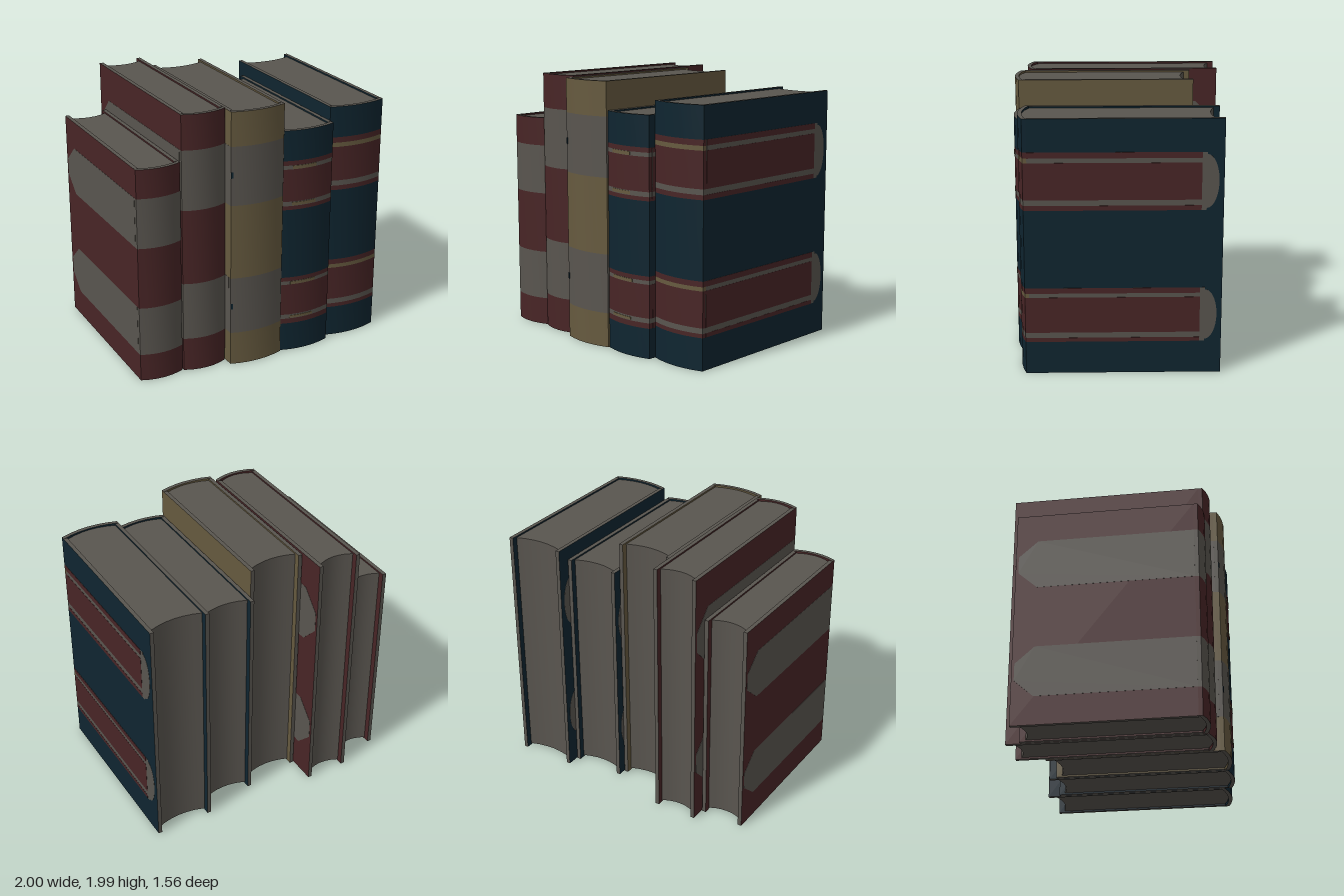
import * as THREE from 'three';
import { toCreasedNormals } from 'three/addons/utils/BufferGeometryUtils.js';

const mat = (name, color) => {
  const m = new THREE.MeshStandardMaterial({ color });
  m.name = name;
  return m;
};
const paper = mat('paper grey', 0x59554f);
const maroon = mat('maroon', 0x482526);
const tan = mat('tan', 0x665a3f);
const navy = mat('navy', 0x0f2530);

const T = 0.03; // cover thickness

// Points along a shallow bow from x0 to x1, as (x, -z), for the stretch a..c
function bow(x0, x1, z, b, a = 0, c = 1, n = 6) {
  return Array.from({ length: n + 1 }, (_, i) => {
    const t = a + (c - a) * i / n;
    return new THREE.Vector2(x0 + (x1 - x0) * t, -(z + b * (1 - (2 * t - 1) ** 2)));
  });
}

// Upright prism from a plan outline; the ends and sides may differ in colour
function prism(name, points, y0, y1, ends, sides) {
  let g = new THREE.ExtrudeGeometry(new THREE.Shape(points), { depth: y1 - y0, bevelEnabled: false });
  g.rotateX(-Math.PI / 2);
  g.translate(0, y0, 0);
  g = toCreasedNormals(g, 0.5);
  const mesh = new THREE.Mesh(g, [ends, sides]);
  mesh.name = name;
  return mesh;
}

// Thin plate on a cover, drawn in (z, y); side is +1 or -1
function plate(name, shape, x, side, d, material) {
  const g = new THREE.ExtrudeGeometry(shape, { depth: d, bevelEnabled: false, curveSegments: 12 });
  g.rotateY(-Math.PI / 2);
  g.translate(side > 0 ? x + d : x, 0, 0);
  const mesh = new THREE.Mesh(g, material);
  mesh.name = name;
  return mesh;
}

const polygon = pts => new THREE.Shape(pts.map(p => new THREE.Vector2(...p)));
const rect = (z0, z1, y0, y1) => polygon([[z0, y0], [z1, y0], [z1, y1], [z0, y1]]);

// Cover label outlines, running from the spine to a shaped end near the back
function chamferedLabel(zb, zf, y0, y1) {
  const h = y1 - y0;
  return polygon([[zf, y0], [zf, y1], [zb + 0.16, y1], [zb + 0.02, y0 + h * 0.67],
    [zb + 0.02, y0 + h * 0.33], [zb + 0.16, y0]]);
}
function roundedLabel(zb, zf, y0, y1) {
  const s = new THREE.Shape();
  s.moveTo(zf, y0);
  s.lineTo(zf, y1);
  s.lineTo(zb + 0.12, y1);
  s.absellipse(zb + 0.12, (y0 + y1) / 2, 0.085, (y1 - y0) / 2 - 0.015, Math.PI / 2, Math.PI * 1.5, false);
  s.lineTo(zb + 0.12, y0);
  return s;
}

// bands: [upper edge, material] from the bottom up; labels: [y0, y1]
function book(o) {
  const group = new THREE.Group();
  group.name = o.name;
  const x0 = o.x[0] + 0.003, x1 = o.x[1] - 0.003;
  const { h, zb, zf, bulge, base } = o;
  const zc = zf - T;

  // Covers with paper-coloured edges
  for (const side of [-1, 1]) {
    const g = new THREE.BoxGeometry(T, h, zc - zb);
    const cover = new THREE.Mesh(g, [base, base, paper, paper, paper, paper]);
    cover.position.set(side > 0 ? x1 - T / 2 : x0 + T / 2, h / 2, (zb + zc) / 2);
    cover.name = side > 0 ? 'leftCover' : 'rightCover';
    group.add(cover);

    // Cover labels and their stripes
    const x = side > 0 ? x1 : x0;
    for (const [a, b] of o.labels) {
      const shape = o.striped ? roundedLabel(zb, zc, a, b) : chamferedLabel(zb, zc, a, b);
      group.add(plate('coverLabel', shape, x, side, 0.0014, paper));
    }
    if (o.striped) o.bands.forEach(([top, m], i) => {
      if (m !== maroon) return;
      const low = o.bands[i - 1][0];
      group.add(plate('coverStripe', rect(zb + 0.155, zc, low, top), x, side, 0.0027, m));
    });
  }

  // Rounded spine, stacked from coloured bands
  const outline = [...bow(x0, x1, zf, bulge), ...bow(x0, x1, zc, bulge).reverse()];
  let y = 0;
  for (const [top, m] of o.bands) {
    group.add(prism('spineBand', outline, y, top, paper, m));
    y = top;
  }

  // Page block with a hollow fore edge
  const pages = [...bow(x0 + T, x1 - T, zc, bulge), ...bow(x0 + T, x1 - T, zb + 0.045, 0.038).reverse()];
  group.add(prism('pages', pages, 0.012, h - 0.012, paper, paper));

  // Small inlays on the spine: [a, c, y0, y1, material]
  for (const [a, c, y0, y1, m] of o.inlays || []) {
    const pts = [...bow(x0, x1, zf + 0.003, bulge, a, c), ...bow(x0, x1, zf - 0.003, bulge, a, c).reverse()];
    group.add(prism('spineInlay', pts, y0, y1, m, m));
  }
  return group;
}

// Plain book: two paper bands on a coloured cover
const banded = (name, x, h, zb, zf, bulge, base, labels, inlays) => book({
  name, x, h, zb, zf, bulge, base, labels, inlays,
  bands: [[labels[0][0], base], [labels[0][1], paper], [labels[1][0], base], [labels[1][1], paper], [h, base]],
});

// Navy book: two maroon panels edged by narrow stripes
const striped = (name, x, h, zb, zf, bulge, panels, stripe, inlays) => book({
  name, x, h, zb, zf, bulge, base: navy, striped: true, inlays,
  labels: panels.map(p => [p[0], p[5]]),
  bands: [...panels.flatMap(p => [[p[0], navy], [p[1], maroon], [p[2], paper],
    [p[3], maroon], [p[4], stripe], [p[5], maroon]]), [h, navy]],
});

export function createModel() {
  const model = new THREE.Group();
  model.name = 'bookRow';

  model.add(
    banded('shortMaroonBook', [-1, -0.657], 1.64, -0.67, 0.65, 0.036, maroon, [[0.21, 0.585], [1.05, 1.425]]),
    banded('tallMaroonBook', [-0.657, -0.31], 1.985, -0.78, 0.66, 0.04, maroon, [[0.26, 0.705], [1.275, 1.725]]),
    banded('tanBook', [-0.31, 0.122], 1.975, -0.565, 0.74, 0.037, tan, [[0.26, 0.705], [1.275, 1.72]],
      [[0, 0.035, 0.455, 0.5, navy], [0, 0.035, 1.485, 1.53, navy]]),
    striped('shortNavyBook', [0.122, 0.54], 1.765, -0.625, 0.73, 0.036,
      [[0.225, 0.265, 0.3, 0.55, 0.578, 0.61], [1.155, 1.185, 1.22, 1.47, 1.5, 1.535]], paper,
      [[0.16, 0.62, 0.27, 0.29, tan], [0.16, 0.66, 0.552, 0.576, tan],
        [0.16, 0.62, 1.19, 1.215, tan], [0.16, 0.62, 1.472, 1.498, tan]]),
    striped('tallNavyBook', [0.54, 1], 1.865, -0.72, 0.675, 0.04,
      [[0.24, 0.27, 0.31, 0.575, 0.605, 0.645], [1.215, 1.25, 1.29, 1.555, 1.588, 1.63]], tan),
  );
  return model;
}
